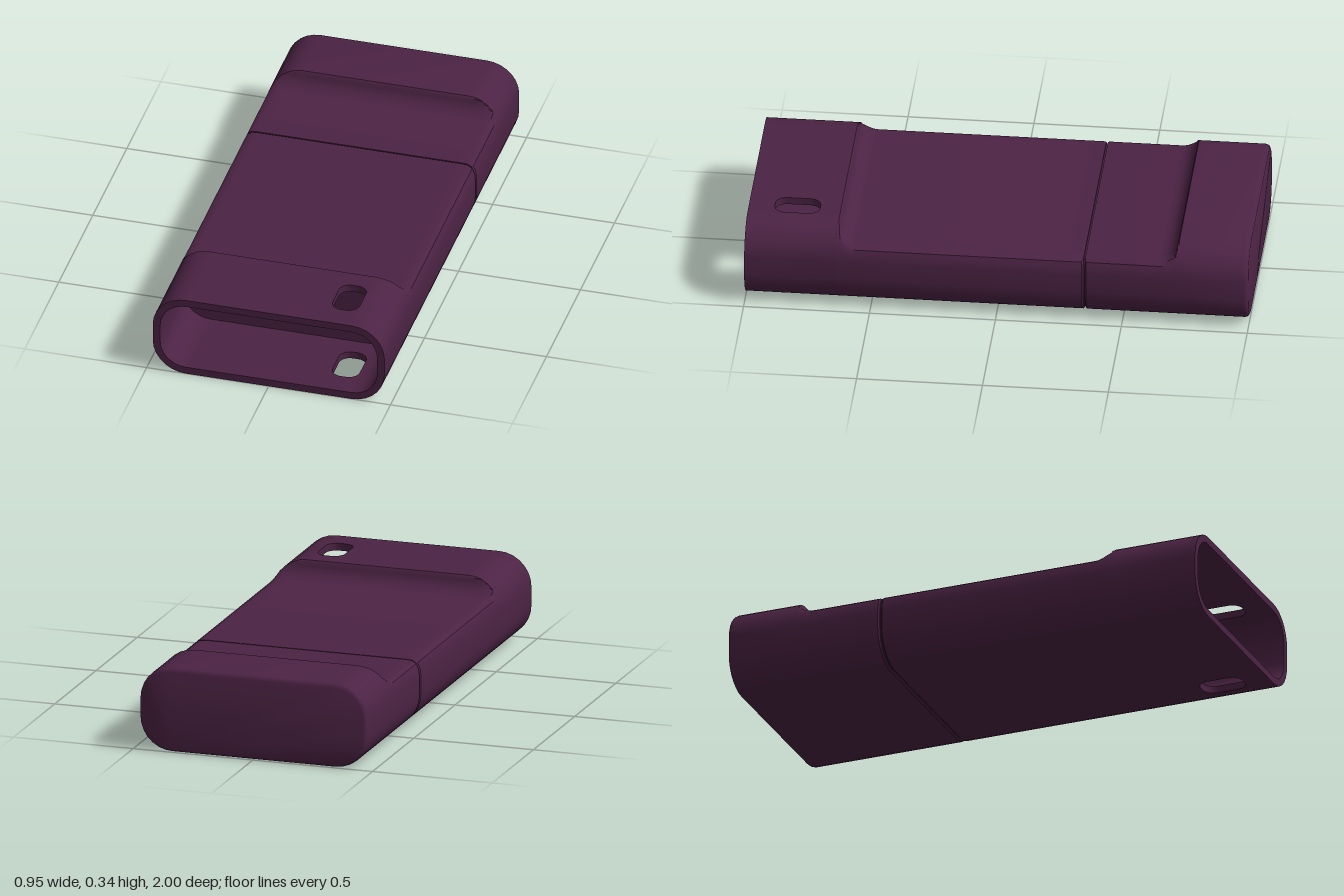
import * as THREE from 'three';
import { toCreasedNormals } from 'three/addons/utils/BufferGeometryUtils.js';

const H = 0.345, FLAT = 0.34, R = 0.135, SEG = 7, WALL = 0.03, STEP_Z = 0.64;

// Right-hand arc of the section, bottom to top
function sideArc(inset) {
  const r = R - inset, pts = [];
  for (const [cy, start] of [[R, -Math.PI / 2], [H - R, 0]]) {
    for (let i = 0; i <= SEG; i++) {
      const a = start + (i / SEG) * Math.PI / 2;
      pts.push([FLAT + Math.cos(a) * r, cy + Math.sin(a) * r]);
    }
  }
  return pts;
}

// Softly limits a height to the floor of the recess
function softClip(y, top) {
  const k = Math.max((H - top) * 0.4, 1e-5);
  const h = Math.max(k - Math.abs(y - top), 0) / k;
  return Math.min(y, top) - h * h * k / 4;
}

// Closed section loop, counter-clockwise seen from +z
function section(inset, top) {
  const right = sideArc(inset);
  const left = right.map(([x, y]) => [-x, y]).reverse();
  return [...right, ...left].map(([x, y]) => [x, top < H ? softClip(y, top) : y]);
}

// Solid through rings [z, top, inset], ordered from back to front
function loft(rings) {
  const pos = [], idx = [];
  const loops = rings.map(([z, top = H, inset = 0]) => section(inset, top).map(([x, y]) => [x, y, z]));
  const n = loops[0].length;
  loops.forEach(loop => loop.forEach(p => pos.push(...p)));
  for (let r = 0; r < loops.length - 1; r++) {
    for (let i = 0; i < n; i++) {
      const a = r * n + i, b = r * n + (i + 1) % n;
      idx.push(a, b, b + n, a, b + n, a + n);
    }
  }
  const last = (loops.length - 1) * n;
  for (let i = 1; i < n - 1; i++) {
    idx.push(0, i + 1, i, last, last + i, last + i + 1);
  }
  const g = new THREE.BufferGeometry();
  g.setAttribute('position', new THREE.Float32BufferAttribute(pos, 3));
  g.setIndex(idx);
  return toCreasedNormals(g, 0.6);
}

// Concave step: rings rising from the recess floor at z0 to the full height
function stepRings(z0, dir) {
  const rings = [];
  for (let i = 0; i <= 7; i++) {
    const a = (i / 7) * Math.PI / 2 * 0.93;
    rings.push([z0 + dir * 0.07 * Math.sin(a), H - 0.07 * Math.cos(a)]);
  }
  rings.push([z0 + dir * 0.075, H]);
  return rings;
}

export function createModel() {
  const group = new THREE.Group();
  const plum = new THREE.MeshStandardMaterial({ color: 0x4c2344 });
  const add = (name, geometry) => {
    const mesh = new THREE.Mesh(geometry, plum);
    mesh.name = name;
    group.add(mesh);
    return mesh;
  };

  // Main body with the front step of the thumb recess
  add('mainBody', loft([
    [-0.345, 0.275, 0.006], [-0.339, 0.275], ...stepRings(0.56, 1), [STEP_Z, H],
  ]));

  // End cap with the rear step and a softened end
  add('endCap', loft([
    [-1, H, 0.016], [-0.996, H, 0.007], [-0.989, H, 0.002], [-0.98, H],
    ...stepRings(-0.645, -1).reverse(), [-0.357, 0.275], [-0.351, 0.275, 0.006],
  ]));

  // Core closing the seam between body and cap
  add('seamCore', loft([[-0.36, 0.265, 0.01], [-0.335, 0.265, 0.01]]));

  // Curved side walls of the open front socket
  for (const side of [1, -1]) {
    const outline = [...sideArc(0), ...sideArc(WALL).reverse()];
    const shape = new THREE.Shape(outline.map(([x, y]) => new THREE.Vector2(side * x, y)));
    const g = new THREE.ExtrudeGeometry(shape, { depth: 1 - STEP_Z, bevelEnabled: false });
    g.translate(0, 0, STEP_Z);
    add(side > 0 ? 'leftSocketWall' : 'rightSocketWall', toCreasedNormals(g, 0.6));
  }

  // Top and bottom socket walls, pierced by the strap slot
  const plate = new THREE.Shape([
    [-FLAT, STEP_Z], [FLAT, STEP_Z], [FLAT, 1], [-FLAT, 1],
  ].map(p => new THREE.Vector2(...p)));
  const slot = new THREE.Path();
  const x0 = 0.222, x1 = 0.333, z0 = 0.717, z1 = 0.897, r = 0.045;
  slot.moveTo(x0 + r, z0);
  slot.absarc(x0 + r, z0 + r, r, -Math.PI / 2, -Math.PI, true);
  slot.absarc(x0 + r, z1 - r, r, Math.PI, Math.PI / 2, true);
  slot.absarc(x1 - r, z1 - r, r, Math.PI / 2, 0, true);
  slot.absarc(x1 - r, z0 + r, r, 0, -Math.PI / 2, true);
  plate.holes.push(slot);
  const plateGeometry = new THREE.ExtrudeGeometry(plate, { depth: WALL, bevelEnabled: false, curveSegments: 6 });
  plateGeometry.rotateX(Math.PI / 2);
  const slotted = toCreasedNormals(plateGeometry, 0.6);
  add('topSocketWall', slotted).position.y = H;
  add('bottomSocketWall', slotted).position.y = WALL;

  return group;
}
